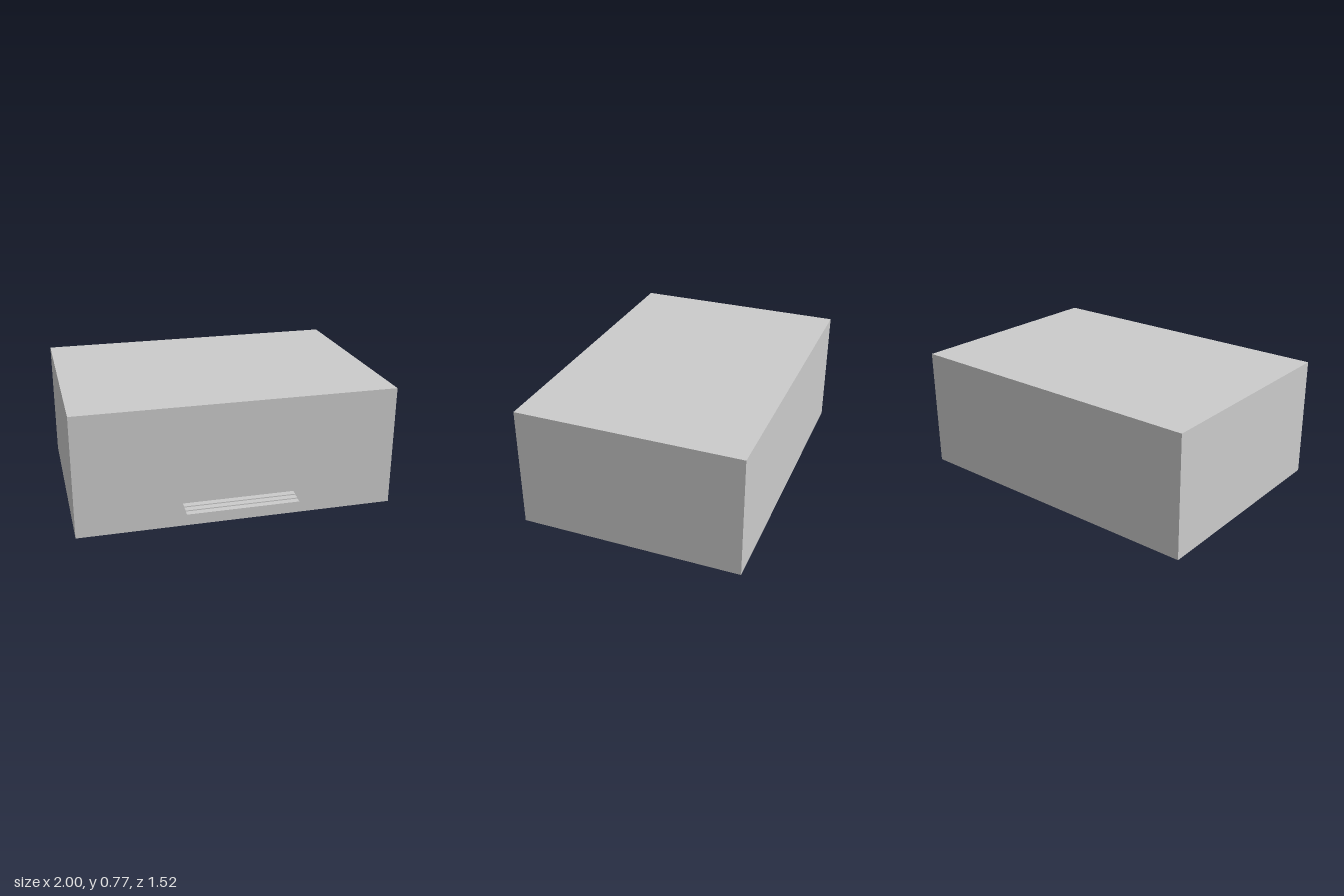
import * as THREE from 'three';

export function createModel() {
  const model = new THREE.Group();
  const solid = new THREE.MeshStandardMaterial({ color: 0xcccccc, flatShading: true });
  const sheet = new THREE.MeshStandardMaterial({ color: 0xcccccc, flatShading: true, side: THREE.DoubleSide });

  const add = (name, geometry, x, y, z, material = solid, parent = model) => {
    const mesh = new THREE.Mesh(geometry, material);
    mesh.name = name;
    mesh.position.set(x, y, z);
    parent.add(mesh);
    return mesh;
  };
  const group = (name) => {
    const g = new THREE.Group();
    g.name = name;
    model.add(g);
    return g;
  };
  const horizontal = (w, d) => new THREE.PlaneGeometry(w, d).rotateX(-Math.PI / 2);

  // Outer shell: thin walls and roof, open underneath
  const H = 0.77, FRONT = 0.64, BACK = -0.76, DEPTH = FRONT - BACK, MID = (FRONT + BACK) / 2;
  const shell = new THREE.BoxGeometry(2, H, DEPTH);
  const index = Array.from(shell.index.array);
  index.splice(18, 6); // bottom face
  shell.setIndex(index);
  shell.clearGroups();
  add('outerShell', shell, 0, H / 2, MID, sheet);

  // Inner facade wall and ceiling
  const WALL = 0.44, CEILING = 0.74;
  add('facadeWall', new THREE.PlaneGeometry(1.998, CEILING), 0, CEILING / 2, WALL, sheet);
  add('ceiling', horizontal(1.998, WALL - BACK - 0.002), 0, CEILING, (WALL + BACK) / 2, sheet);

  // Door and window niches standing out on the inside of the facade
  const niche = 0.03;
  add('doorNiche', new THREE.BoxGeometry(0.52, 0.34, niche), 0, 0.31, WALL - niche / 2);
  const windows = group('windowNiches');
  const windowShape = new THREE.BoxGeometry(0.09, 0.12, niche);
  for (const side of [-1, 1]) {
    for (const x of [0.113, 0.339, 0.565, 0.79]) {
      const rows = x > 0.5 ? [0.24, 0.442, 0.645] : [0.645];
      for (const y of rows) add('windowNiche', windowShape, side * x, y, WALL - niche / 2, solid, windows);
    }
    add('sideWindowNiche', new THREE.BoxGeometry(niche, 0.24, 0.08), side * (0.999 - niche / 2), 0.43, -0.15, solid, windows);
  }

  // Paired posts of the portico, between facade and front wall
  const portico = group('portico');
  for (const x of [-0.3, -0.1, 0.1, 0.3]) {
    for (const dx of [-0.027, 0.027]) {
      add('porticoPost', new THREE.BoxGeometry(0.03, 0.48, 0.03), x + dx, 0.36, 0.615, solid, portico);
    }
  }

  // Shallow open steps in front: three treads with low risers
  const steps = group('frontSteps');
  const tread = 0.04, rise = 0.02 / 3;
  for (let i = 0; i < 3; i++) {
    const y = 0.15 - i * rise, z = FRONT + i * tread;
    add('tread', horizontal(0.7, tread), 0, y, z + tread / 2, sheet, steps);
    add('riser', new THREE.PlaneGeometry(0.7, rise), 0, y - rise / 2, z + tread, sheet, steps);
  }
  return model;
}
